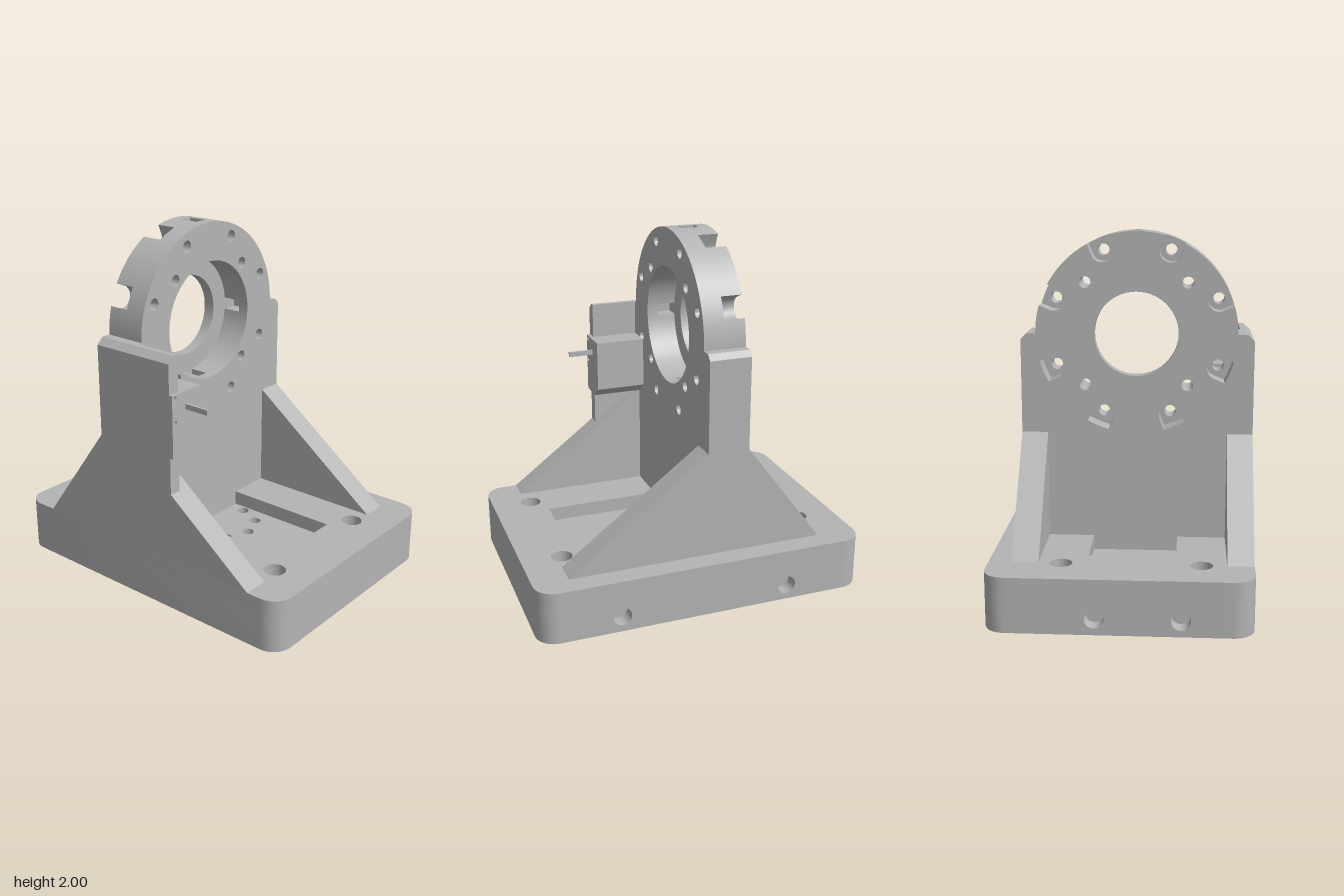
import * as THREE from 'three';
import { toCreasedNormals } from 'three/addons/utils/BufferGeometryUtils.js';

const V = (x, y) => new THREE.Vector2(x, y);
const polar = (r, a, cx = 0, cy = 0) => V(cx + r * Math.cos(a), cy + r * Math.sin(a));
const rad = THREE.MathUtils.degToRad;

export function createModel() {
  const group = new THREE.Group();
  const gray = new THREE.MeshStandardMaterial({ color: 0xb4b4b4 });
  gray.name = 'machined gray';

  const add = (name, geo) => {
    const mesh = new THREE.Mesh(geo, gray);
    mesh.name = name;
    group.add(mesh);
    return mesh;
  };
  const circle = (x, y, r) => new THREE.Path().absarc(x, y, r, 0, Math.PI * 2, true);
  const poly = (pts) => new THREE.Shape(pts.map((p) => (p.isVector2 ? p : V(p[0], p[1]))));
  const extrude = (shape, holes, depth) => {
    shape.holes.push(...holes);
    return toCreasedNormals(
      new THREE.ExtrudeGeometry(shape, { depth, bevelEnabled: false, curveSegments: 24 }), 0.5);
  };
  // Outline in (x, y), thickness along z
  const alongZ = (name, shape, holes, z0, z1) =>
    add(name, extrude(shape, holes, z1 - z0).translate(0, 0, z0));
  // Outline in (-z, y), thickness along x
  const alongX = (name, shape, holes, x0, x1) =>
    add(name, extrude(shape, holes, x1 - x0).rotateY(Math.PI / 2).translate(x0, 0, 0));
  // Outline in (x, -z), thickness along y
  const alongY = (name, shape, holes, y0, y1) =>
    add(name, extrude(shape, holes, y1 - y0).rotateX(-Math.PI / 2).translate(0, y0, 0));
  const rect = (x0, y0, x1, y1) => poly([[x0, y0], [x1, y0], [x1, y1], [x0, y1]]);

  // ---- Base: rounded block, recessed on two sides for the drilled side strips
  const W = 0.922, D = 0.677, R = 0.11;
  const baseOutline = () => {
    const pts = [];
    const corner = (x, y, start) => {
      for (let i = 0; i <= 8; i++) pts.push(polar(R, rad(start + i * 11.25), x, y));
    };
    corner(W - R, -D + R, -90);
    corner(W - R, D - R, 0);
    pts.push(V(0.78, D), V(0.78, D - 0.08), V(-0.78, D - 0.08), V(-0.78, D));
    corner(-W + R, D - R, 90);
    pts.push(V(-W, 0.5), V(-W + 0.08, 0.5), V(-W + 0.08, -0.5), V(-W, -0.5));
    corner(-W + R, -D + R, 180);
    return poly(pts);
  };
  const mounts = (r) => [[-0.7, 0.305], [0.7, 0.305], [-0.7, -0.41], [0.7, -0.41]]
    .map(([x, y]) => circle(x, y, r));
  const C = 0.055; // centre of the boss in x and z
  const boltCircle = () => Array.from({ length: 8 }, (_, i) => {
    const p = polar(0.186, i * Math.PI / 4, C, -C);
    return circle(p.x, p.y, 0.034);
  });
  alongY('baseLower', baseOutline(), [...mounts(0.049), ...boltCircle()], 0.06, 0.27);
  alongY('baseUpper', baseOutline(),
    [...mounts(0.058), rect(-0.585, -0.28, -0.265, 0.175), rect(-0.035, -0.28, 0.622, 0.175)], 0.27, 0.35);
  alongZ('backStrip', rect(-0.78, 0.06, 0.78, 0.35),
    [circle(-0.46, 0.145, 0.05), circle(0.48, 0.145, 0.05)], -D, -D + 0.08);
  alongX('sideStrip', rect(-0.5, 0.06, 0.5, 0.35),
    [circle(0.12, 0.145, 0.05), circle(-0.31, 0.145, 0.05)], -W, -W + 0.08);

  // ---- Underside boss with a flared rim, and a small foot
  const disc = new THREE.Shape().absarc(C, -C, 0.26, 0, Math.PI * 2, false);
  alongY('bossCentre', disc, [...boltCircle(), circle(C, -C, 0.085)], 0, 0.06);
  const flare = [[0.26, 0], [0.415, 0], [0.45, 0.024], [0.48, 0.041], [0.51, 0.051], [0.545, 0.058], [0.59, 0.06]];
  add('bossFlare', toCreasedNormals(
    new THREE.LatheGeometry(flare.map(([r, y]) => V(r, y)), 64), 0.5)).position.set(C, 0, C);
  const foot = add('foot', new THREE.SphereGeometry(0.08, 24, 16));
  foot.scale.y = 0.4;
  foot.position.set(0.815, 0.062, 0.55);

  // ---- Upright bearing plate, built in slices through its thickness
  const cx = -C, cy = 1.465, RO = 0.535;
  const at = (r, a) => polar(r, a, cx, cy);
  const half = Math.asin(0.06 / RO);
  // U-shaped screw pocket, from the rim around its rounded inner end
  const pocket = (a) => {
    const m = at(0.47, a), pts = [at(RO, a - half)];
    for (let i = 0; i <= 12; i++) pts.push(polar(0.06, a - Math.PI / 2 - (i * Math.PI) / 12, m.x, m.y));
    pts.push(at(RO, a + half));
    return pts;
  };
  const plateOutline = (pockets, slot) => {
    const pts = [[-D, 0.27], [0.56, 0.27], [0.56, 1.435], [0.53, cy]].map(([x, y]) => V(x, y));
    const cuts = [];
    if (pockets) for (const d of [22.5, 67.5, 112.5, 157.5]) cuts.push([rad(d), half, pocket(rad(d))]);
    if (slot) {
      const h = 0.062, a = Math.PI / 2;
      cuts.push([a, h, [at(RO, a - h), at(0.43, a - h * 1.24), at(0.43, a + h * 1.24), at(RO, a + h)]]);
    }
    cuts.sort((p, q) => p[0] - q[0]);
    let next = 0;
    for (let i = 0; i <= 90; i++) {
      const a = (i * Math.PI) / 90;
      while (next < cuts.length && cuts[next][0] < a + 1e-6) pts.push(...cuts[next++][2]);
      if (!cuts.some(([c, h]) => Math.abs(a - c) < h + 0.005)) pts.push(at(RO, a));
    }
    pts.push(V(-0.64, cy), V(-D, 1.43));
    return poly(pts);
  };
  // Bore, optionally with four shallow pockets in its wall
  const bore = (r, notched) => {
    const pts = [];
    for (let q = 0; q < 4; q++) {
      const a0 = (q * Math.PI) / 2, h = 0.1;
      if (notched) pts.push(at(r, a0 - h), at(0.41, a0 - h * 0.8), at(0.41, a0 + h * 0.8));
      for (let i = 0; i <= 20; i++) pts.push(at(r, a0 + h + (i / 20) * (Math.PI / 2 - 2 * h)));
      if (!notched) pts.push(at(r, a0 + Math.PI / 2));
    }
    return poly(pts);
  };
  const holesAt = (r, degs) => degs.map((d) => {
    const p = at(r, rad(d));
    return circle(p.x, p.y, 0.031);
  });
  const ring = [0, 1, 2, 3, 4, 5, 6, 7].map((i) => 22.5 + 45 * i);
  const lowerPockets = () => ring.slice(4).map((d) => {
    const a = rad(d), pts = pocket(a);
    for (let i = 1; i < 4; i++) pts.push(at(RO, a + half - (i * half) / 2));
    return poly(pts);
  });
  const slices = [ // x0, x1, bore radius, pockets, slots
    [-0.265, -0.2, 0.223, true, false],
    [-0.2, -0.15, 0.326, true, true],
    [-0.15, -0.095, 0.326, false, true],
    [-0.095, -0.035, 0.326, false, false],
  ];
  for (const [x0, x1, r, pockets, slot] of slices) {
    alongX('bearingPlate', plateOutline(pockets, slot), [
      bore(r, slot),
      ...holesAt(0.383, [45, 135, 225, 315]),
      ...(pockets ? lowerPockets() : holesAt(0.47, ring)),
    ], x0, x1);
  }

  // ---- Gussets on both sides of the plate
  for (const [name, z0, z1] of [['frontGusset', 0.54, D], ['backGusset', -0.56, -0.42]]) {
    alongZ(name, poly([[-0.7, 0.35], [0.73, 0.35], [-0.035, 0.93], [-0.265, 0.93]]), [], z0, z1);
  }

  // ---- Front side wall with a chamfered top edge
  alongX('sideWall', poly([[-D, 0.72], [-0.61, 0.72], [-0.61, cy], [-0.64, cy], [-D, 1.43]]), [], -0.035, 0.23);

  // ---- Sensor body, its cover plate and pin
  alongX('sensorBody', poly([[-0.61, 0.93], [-0.53, 0.93], [-0.465, 0.985], [-0.465, 1.27], [-0.61, 1.27]]),
    [], -0.035, 0.23);
  alongX('sensorCover', poly([[-D, 0.93], [-0.53, 0.93], [-0.465, 0.985], [-0.465, 1.27], [-D, 1.27]]),
    [circle(-0.655, 1.25, 0.012), circle(-0.655, 1.12, 0.012)], 0.23, 0.25);
  add('sensorPin', new THREE.BoxGeometry(0.15, 0.028, 0.014)).position.set(0.317, 1.188, 0.572);

  return group;
}
